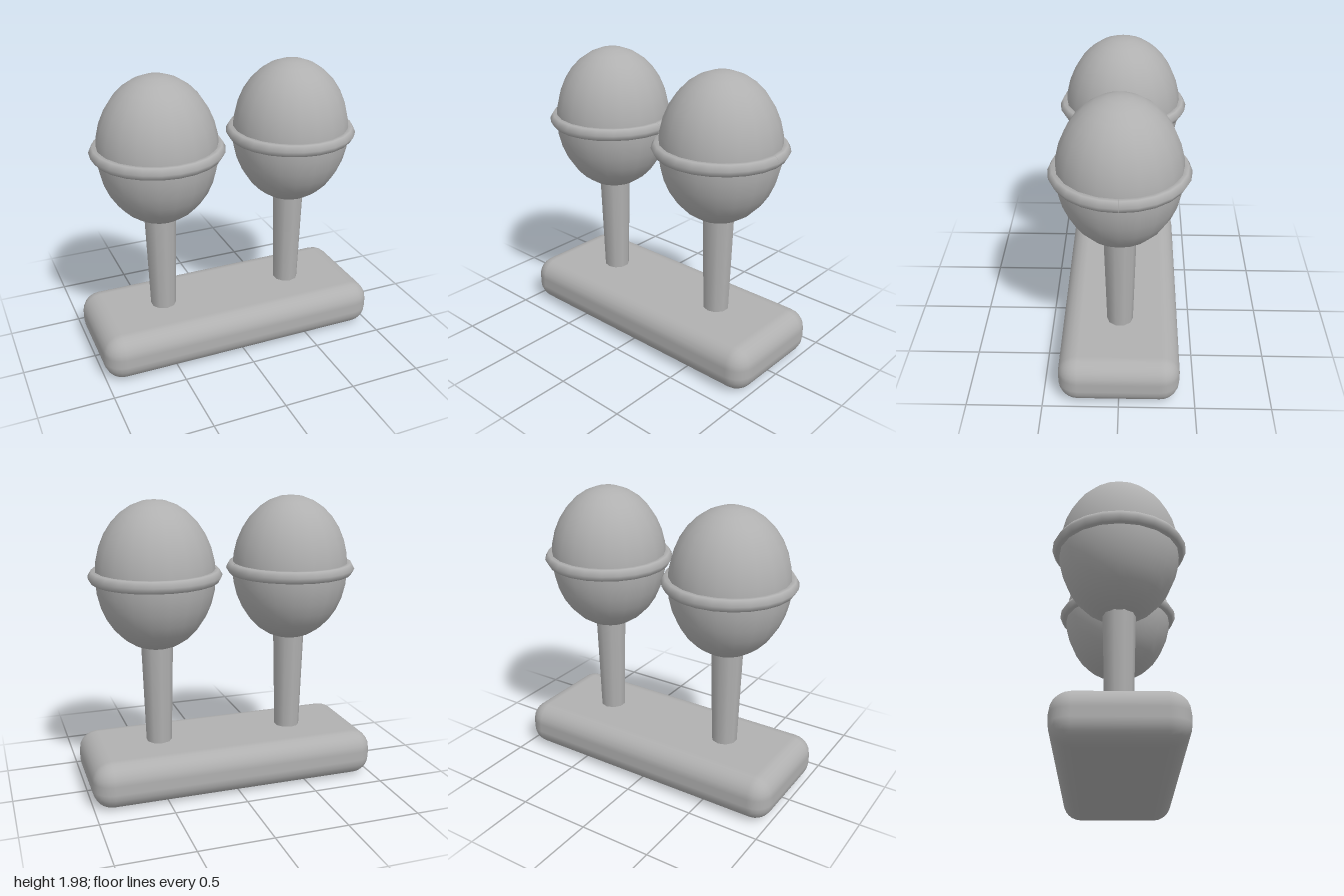
import * as THREE from 'three';
import { RoundedBoxGeometry } from 'three/addons/geometries/RoundedBoxGeometry.js';

export function createModel() {
  const model = new THREE.Group();
  model.name = 'twinOrbStand';
  const grey = new THREE.MeshStandardMaterial({ color: 0xb0b0b0, side: THREE.DoubleSide });
  grey.name = 'plain grey';

  const add = (parent, name, geometry, y) => {
    const mesh = new THREE.Mesh(geometry, grey);
    mesh.name = name;
    mesh.position.y = y;
    parent.add(mesh);
    return mesh;
  };

  // Rounded slab that carries both stems
  add(model, 'base', new RoundedBoxGeometry(2, 0.32, 0.8, 3, 0.13), 0.16);

  // Each post: tapered stem, egg-shaped head, ring around its middle
  const stem = new THREE.CylinderGeometry(0.108, 0.088, 0.72, 10);
  const egg = new THREE.SphereGeometry(0.4, 20, 16).scale(1, 1.25, 1);
  // The ring stops just short of a full turn, leaving a fine seam at +x
  const ring = new THREE.TorusGeometry(0.4, 0.045, 6, 24, 6.28).rotateX(Math.PI / 2);

  for (const [side, x] of [['left', 0.48], ['right', -0.48]]) {
    const post = new THREE.Group();
    post.name = side + 'Post';
    post.position.x = x;
    add(post, side + 'Stem', stem, 0.66);
    add(post, side + 'Head', egg, 1.48);
    add(post, side + 'Ring', ring, 1.485);
    model.add(post);
  }
  return model;
}
